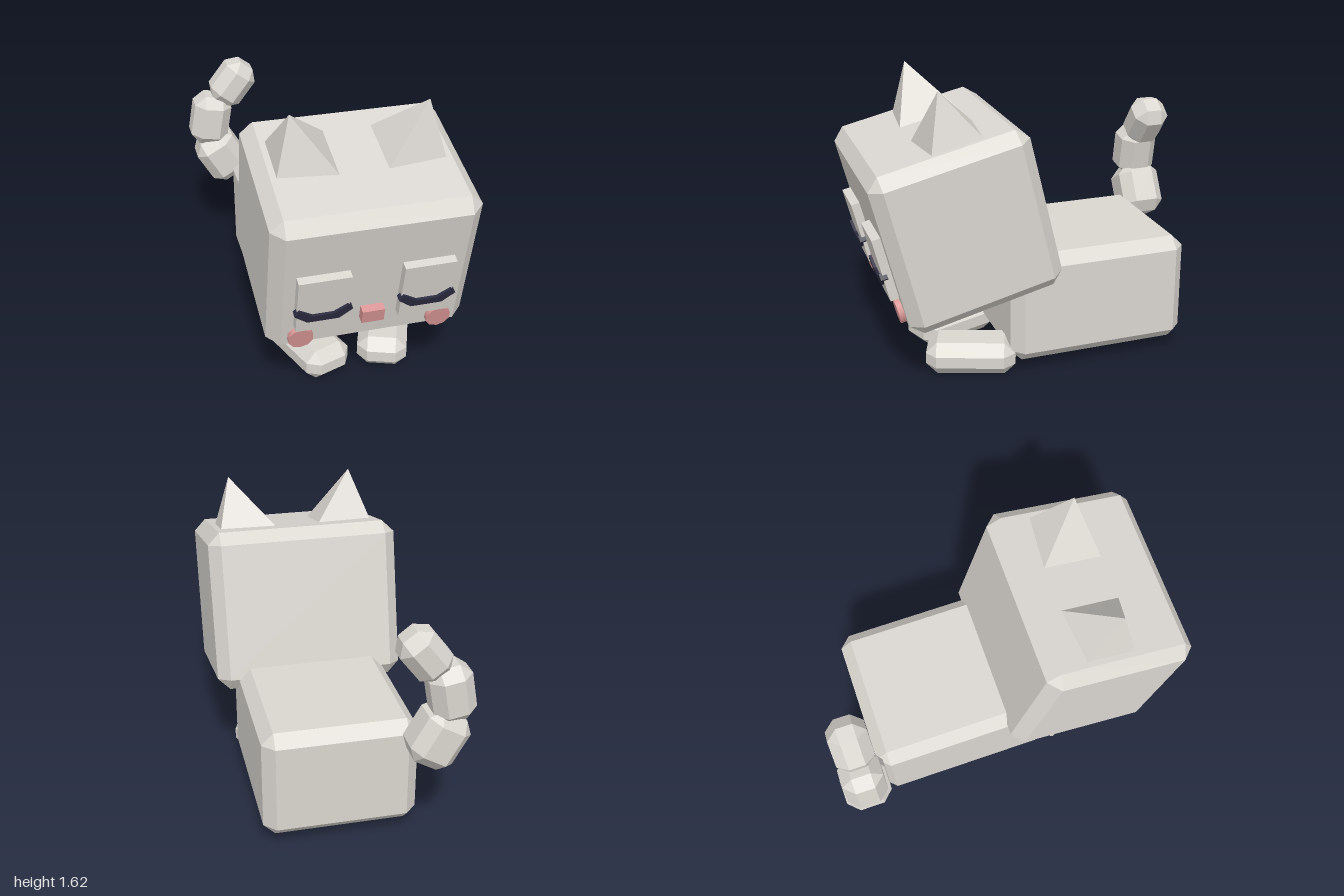
import * as THREE from 'three';
import { ConvexGeometry } from 'three/addons/geometries/ConvexGeometry.js';

const grey = new THREE.MeshStandardMaterial({ color: 0xdad6d0 });
grey.name = 'warm grey fur';
const pink = new THREE.MeshStandardMaterial({ color: 0xdb9896 });
pink.name = 'pink';
const dark = new THREE.MeshStandardMaterial({ color: 0x2b2b40 });
dark.name = 'dark navy';

// Box with flat bevels on every edge: half sizes and bevel width
function bevelBox(hx, hy, hz, c) {
  const points = [];
  for (const x of [-1, 1]) for (const y of [-1, 1]) for (const z of [-1, 1]) {
    points.push(
      new THREE.Vector3(x * hx, y * (hy - c), z * (hz - c)),
      new THREE.Vector3(x * (hx - c), y * hy, z * (hz - c)),
      new THREE.Vector3(x * (hx - c), y * (hy - c), z * hz));
  }
  return new ConvexGeometry(points);
}

function add(parent, name, geometry, material, x = 0, y = 0, z = 0) {
  const mesh = new THREE.Mesh(geometry, material);
  mesh.name = name;
  mesh.position.set(x, y, z);
  parent.add(mesh);
  return mesh;
}

export function createModel() {
  const model = new THREE.Group();
  model.name = 'sleepingCat';

  // Everything but the tail is symmetric about this shifted centre line
  const cat = new THREE.Group();
  cat.name = 'cat';
  cat.position.x = 0.055;
  model.add(cat);

  add(cat, 'body', bevelBox(0.417, 0.31, 0.508, 0.064), grey, 0, 0.375, -0.267);

  // Head, drooping forward
  const head = new THREE.Group();
  head.name = 'head';
  head.position.set(0, 0.9, 0.495);
  head.rotation.x = 0.236;
  cat.add(head);
  add(head, 'skull', bevelBox(0.532, 0.448, 0.428, 0.066), grey);
  add(head, 'nose', new THREE.BoxGeometry(0.118, 0.082, 0.065), pink, 0, -0.211, 0.442);

  // Curved closed-eye lash outline
  const lash = new THREE.Shape([
    [-0.125, -0.073], [-0.055, -0.119], [0.055, -0.119], [0.125, -0.073],
    [0.15, -0.104], [0.082, -0.16], [-0.082, -0.16], [-0.15, -0.104],
  ].map(([x, y]) => new THREE.Vector2(x, y)));
  const lashGeometry = new THREE.ExtrudeGeometry(lash, { depth: 0.038, bevelEnabled: false });

  for (const [s, side] of [[1, 'left'], [-1, 'right']]) {
    // Ear: skewed pyramid, base sunk slightly into the skull
    const ear = [
      [0.355, 0.727, -0.058], [0.125, 0.445, 0.104], [0.435, 0.445, 0.073],
      [0.435, 0.445, -0.205], [0.125, 0.445, -0.236],
    ].map(([x, y, z]) => new THREE.Vector3(s * x, y, z));
    add(head, side + 'Ear', new ConvexGeometry(ear), grey);

    add(head, side + 'Eyelid', new THREE.BoxGeometry(0.27, 0.353, 0.06), grey, s * 0.27, -0.063, 0.445);
    add(head, side + 'Lash', lashGeometry, dark, s * 0.27, 0, 0.452);
    const cheek = add(head, side + 'Cheek', new THREE.CylinderGeometry(0.067, 0.067, 0.045, 10),
      pink, s * 0.369, -0.323, 0.435);
    cheek.rotation.x = Math.PI / 2;

    // Front paw, toes turned inward
    const paw = add(cat, side + 'Paw', bevelBox(0.138, 0.092, 0.245, 0.06), grey, s * 0.22, 0.092, 0.425);
    paw.rotation.y = -s * 0.35;
  }

  // Tail segments: x, y, half width, half length, lean
  const tail = new THREE.Group();
  tail.name = 'tail';
  model.add(tail);
  [
    [-0.407, 0.667, 0.128, 0.154, 0.52],
    [-0.465, 0.92, 0.113, 0.157, -0.175],
    [-0.32, 1.143, 0.105, 0.145, -0.66],
  ].forEach(([x, y, w, l, lean], i) => {
    const part = add(tail, 'tailSegment' + (i + 1), bevelBox(w, l, w, 0.06), grey, x, y, -0.872);
    part.rotation.z = lean;
  });

  return model;
}
